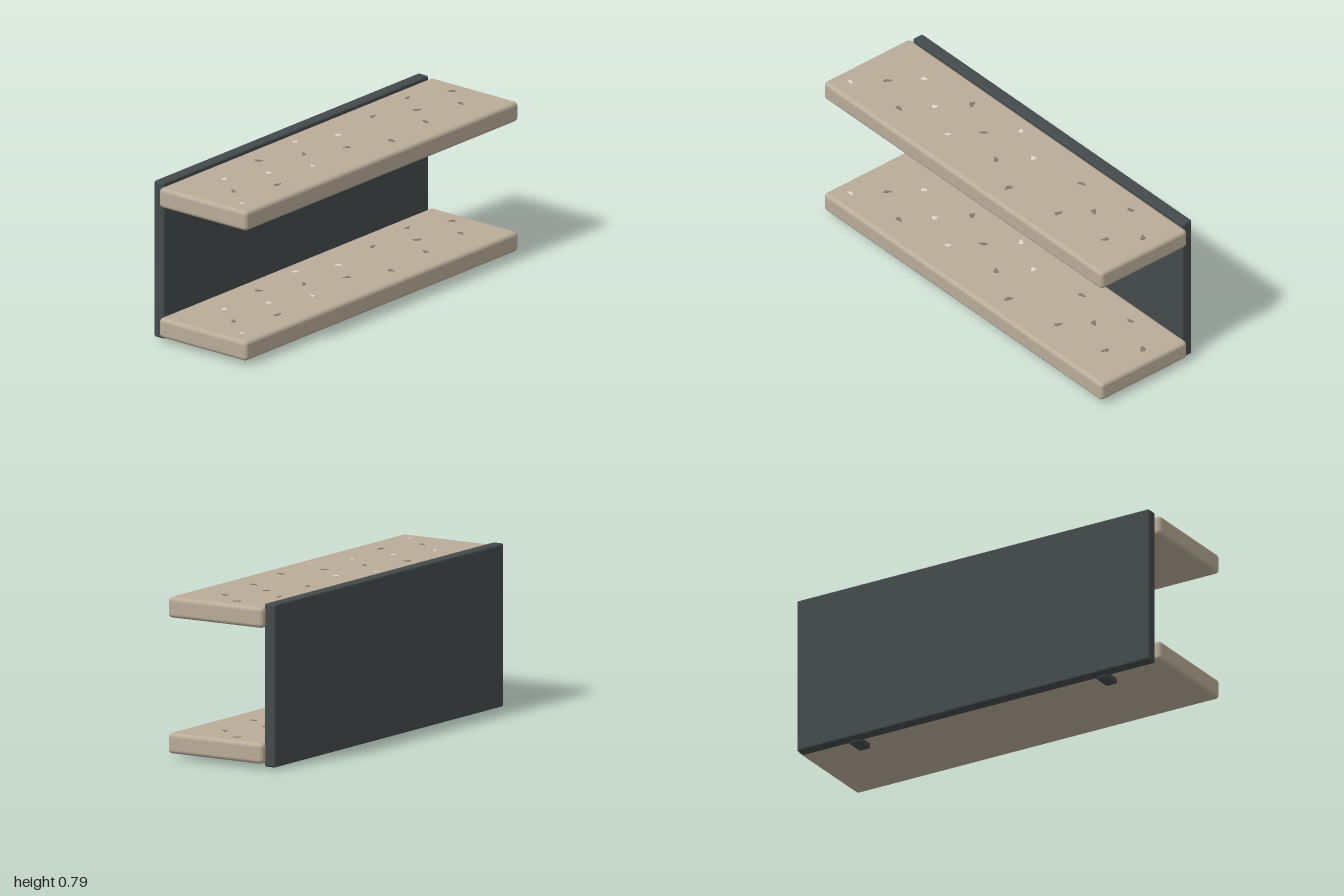
import * as THREE from 'three';
import { RoundedBoxGeometry } from 'three/addons/geometries/RoundedBoxGeometry.js';

const material = (color) => new THREE.MeshStandardMaterial({ color });

// Rounded block given by its minimum and maximum corners
function block(name, min, max, radius, mat) {
  const size = max.map((v, i) => v - min[i]);
  const mesh = new THREE.Mesh(new RoundedBoxGeometry(...size, 4, radius), mat);
  mesh.position.set(...max.map((v, i) => (v + min[i]) / 2));
  mesh.name = name;
  return mesh;
}

// Thin chip with a jagged outline, lying on the slab surface
function chipGeometry(length, width, seed) {
  const sides = 9;
  const points = [];
  for (let i = 0; i < sides; i++) {
    const a = (i / sides) * Math.PI * 2;
    const r = 0.9 + 0.22 * Math.sin(seed * 7.3 + i * 4.1);
    points.push(new THREE.Vector2(Math.cos(a) * r * length / 2, Math.sin(a) * r * width / 2));
  }
  const geo = new THREE.ExtrudeGeometry(new THREE.Shape(points), { depth: 0.003, bevelEnabled: false });
  return geo.rotateX(-Math.PI / 2);
}

// Chips: x, z, turn in degrees
const darkChips = [
  [-0.81, 0.06, 60], [-0.61, 0.16, -5], [-0.41, -0.12, -60], [-0.205, -0.015, 40],
  [-0.005, 0.08, -30], [0.2, 0.18, 80], [0.4, -0.1, 20], [0.505, 0.135, 75],
  [0.605, 0, -35], [0.705, -0.14, 8], [0.805, 0.1, 70], [0.91, -0.04, -42],
];
const lightChips = [
  [-0.915, 0.197, 0], [-0.71, -0.08, 30], [-0.51, 0.025, 40],
  [-0.305, 0.12, 50], [-0.1, -0.155, -40], [0.1, -0.06, -35],
];

export function createModel() {
  const model = new THREE.Group();
  const stone = material(0xb9ac98);
  const metal = material(0x444a4b);
  const darkStone = material(0x84786b);
  const lightStone = material(0xe0d8c8);

  // Upright back panel
  model.add(block('backPanel', [-0.97, 0.009, -0.292], [0.97, 0.785, -0.232], 0.01, metal));

  for (const [level, y] of [['lower', 0.024], ['upper', 0.67]]) {
    const shelf = new THREE.Group();
    shelf.name = level + 'Shelf';
    shelf.position.y = y;

    // Slab
    shelf.add(block('slab', [-1, 0, -0.24], [1, 0.098, 0.293], 0.02, stone));

    // Support brackets under the rear edge
    for (const x of [-0.68, 0.68]) {
      shelf.add(block('bracket', [x - 0.031, -0.024, -0.25], [x + 0.031, 0.01, -0.15], 0.008, metal));
    }

    // Speckles in the top face
    const addChips = (name, list, length, width, mat) => list.forEach(([x, z, turn], i) => {
      const chip = new THREE.Mesh(chipGeometry(length, width * (0.85 + 0.3 * (i % 3) / 2), i + 1), mat);
      chip.name = name;
      chip.position.set(x, 0.0965, z);
      chip.rotation.y = THREE.MathUtils.degToRad(turn);
      shelf.add(chip);
    });
    addChips('darkSpeckle', darkChips, 0.046, 0.024, darkStone);
    addChips('lightSpeckle', lightChips, 0.036, 0.026, lightStone);
    model.add(shelf);
  }
  return model;
}
